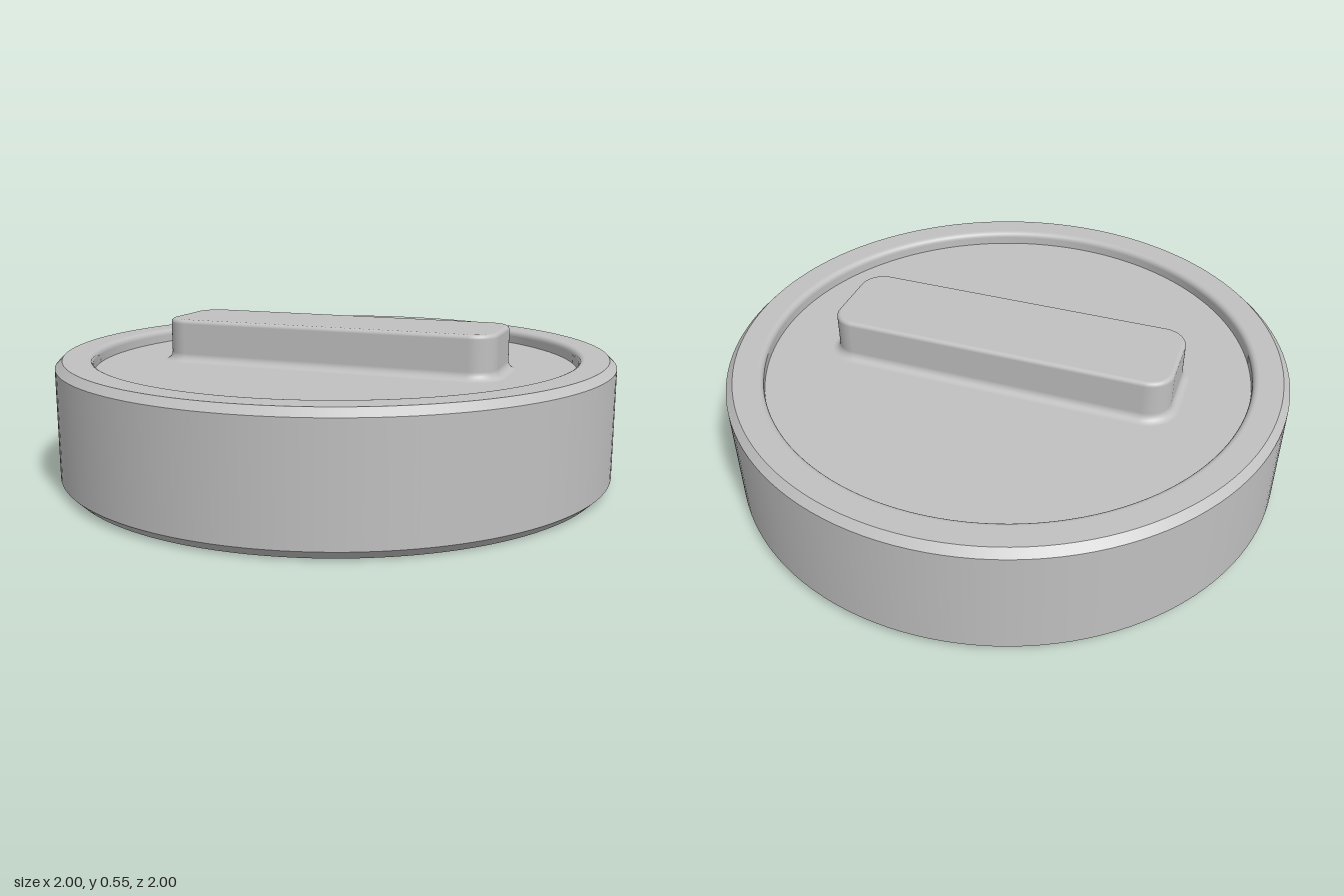
import * as THREE from 'three';

const SEG = 128;
const FLOOR = 0.39, TOP = 0.44, RECESS = 0.87;

// Rounded rectangle as points with outward normals, grown by an offset
function outline(hx, hz, r, offset, steps = 10) {
  const pts = [];
  [[1, 1], [-1, 1], [-1, -1], [1, -1]].forEach(([sx, sz], q) => {
    for (let i = 0; i <= steps; i++) {
      const a = (q + i / steps) * Math.PI / 2;
      const nx = Math.cos(a), nz = Math.sin(a);
      pts.push({ x: sx * (hx - r) + nx * (r + offset), z: sz * (hz - r) + nz * (r + offset), nx, nz });
    }
  });
  return pts;
}

const gripOutline = (offset) => outline(0.62, 0.175, 0.085, offset);
const toVec2 = (pts) => pts.map((p) => new THREE.Vector2(p.x, p.z));

// Side wall of the grip, with a fillet at the foot and a rounded top edge
function gripWall() {
  const profile = [], n = 6;
  for (let i = n; i >= 0; i--) {
    const e = i / n * Math.PI / 2;
    profile.push([0.03 - 0.03 * Math.cos(e), FLOOR + 0.03 - 0.03 * Math.sin(e), e]);
  }
  for (let i = 0; i <= n; i++) {
    const e = i / n * Math.PI / 2;
    profile.push([0.015 * Math.cos(e) - 0.015, 0.53 + 0.015 * Math.sin(e), e]);
  }
  const pos = [], nor = [], idx = [];
  let count = 0;
  profile.forEach(([offset, y, e], row) => {
    const ring = gripOutline(offset);
    count = ring.length;
    ring.forEach((p, i) => {
      pos.push(p.x, y, p.z);
      nor.push(p.nx * Math.cos(e), Math.sin(e), p.nz * Math.cos(e));
      if (row === 0) return;
      const j = (i + 1) % count, lo = (row - 1) * count, hi = row * count;
      idx.push(lo + i, hi + i, lo + j, lo + j, hi + i, hi + j);
    });
  });
  const g = new THREE.BufferGeometry();
  g.setAttribute('position', new THREE.Float32BufferAttribute(pos, 3));
  g.setAttribute('normal', new THREE.Float32BufferAttribute(nor, 3));
  g.setIndex(idx);
  return g;
}

export function createModel() {
  const group = new THREE.Group();
  const grey = new THREE.MeshStandardMaterial({ color: 0xc0c0c0 });
  grey.name = 'grey';
  const inner = new THREE.MeshStandardMaterial({ color: 0xc0c0c0, side: THREE.BackSide });
  inner.name = 'grey inside';

  const add = (name, geometry, material = grey) => {
    const mesh = new THREE.Mesh(geometry, material);
    mesh.name = name;
    group.add(mesh);
    return mesh;
  };
  const ring = (name, pts) =>
    add(name, new THREE.LatheGeometry(pts.map(([r, y]) => new THREE.Vector2(r, y)), SEG));

  // Outer body, one ring per smooth surface so the edges stay sharp
  ring('lowerChamfer', [[0.97, 0], [1, 0.03]]);
  ring('outerWall', [[1, 0.03], [1, TOP - 0.025]]);
  ring('upperChamfer', [[1, TOP - 0.025], [0.975, TOP]]);
  ring('rimTop', [[0.975, TOP], [RECESS + 0.02, TOP]]);

  // Rounded inner lip dropping to the recessed floor
  const lip = [];
  for (let i = 0; i <= 6; i++) {
    const a = i / 6 * Math.PI / 2;
    lip.push([RECESS + 0.02 - 0.02 * Math.sin(a), TOP - 0.02 + 0.02 * Math.cos(a)]);
  }
  ring('rimLip', lip);
  ring('recessWall', [[RECESS, TOP - 0.02], [RECESS, FLOOR]]);

  // Recessed floor, open under the grip
  const floor = new THREE.Shape().absarc(0, 0, RECESS, 0, Math.PI * 2);
  floor.holes.push(new THREE.Path(toVec2(gripOutline(0.03))));
  add('recessFloor', new THREE.ShapeGeometry(floor, SEG / 2).rotateX(-Math.PI / 2).translate(0, FLOOR, 0));

  // Raised grip bar
  add('gripWall', gripWall());
  const cap = new THREE.Shape(toVec2(gripOutline(-0.015)));
  add('gripTop', new THREE.ShapeGeometry(cap).rotateX(-Math.PI / 2).translate(0, 0.545, 0));

  // Underside with eight blind holes
  const base = new THREE.Shape().absarc(0, 0, 0.97, 0, Math.PI * 2);
  const holeR = 0.07, holeDepth = 0.2;
  for (let i = 0; i < 8; i++) {
    const a = i * Math.PI / 4, x = 0.8 * Math.cos(a), z = 0.8 * Math.sin(a);
    base.holes.push(new THREE.Path().absarc(x, z, holeR, 0, Math.PI * 2, true));
    add('holeWall', new THREE.CylinderGeometry(holeR, holeR, holeDepth, 32, 1, true), inner)
      .position.set(x, holeDepth / 2, z);
    add('holeEnd', new THREE.CircleGeometry(holeR, 32).rotateX(Math.PI / 2)).position.set(x, holeDepth, z);
  }
  add('underside', new THREE.ShapeGeometry(base, SEG / 2).rotateX(Math.PI / 2));

  return group;
}
